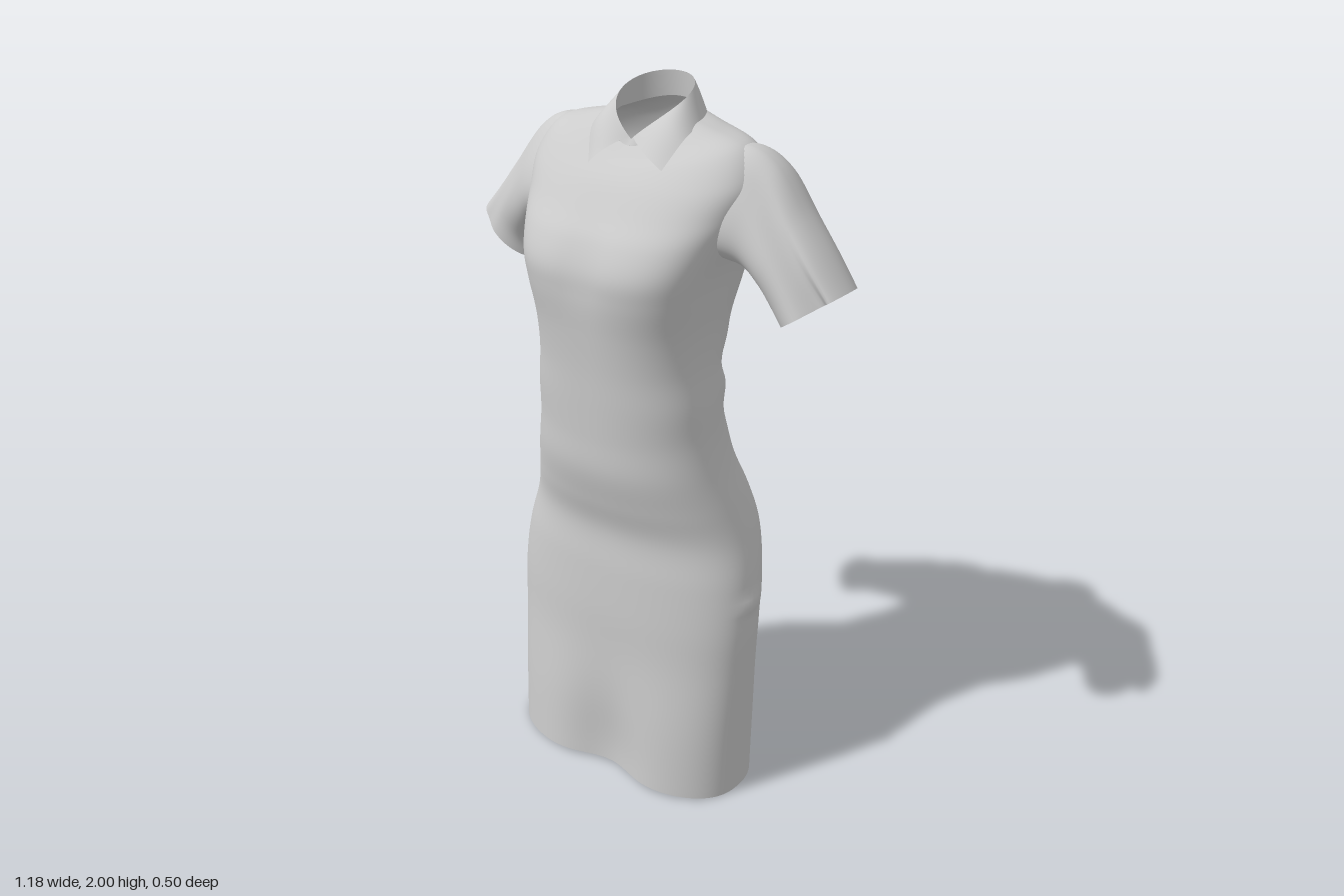
import * as THREE from 'three';

const fabric = new THREE.MeshStandardMaterial({ color: 0xcccccc, side: THREE.DoubleSide, roughness: 0.8 });

// Surface through a grid of points: point(u, v) with u around and v along, both 0..1
function surface(name, nu, nv, closed, point) {
  const cols = closed ? nu : nu + 1;
  const pos = [], idx = [];
  for (let i = 0; i <= nv; i++)
    for (let j = 0; j < cols; j++) pos.push(...point(j / nu, i / nv));
  for (let i = 0; i < nv; i++)
    for (let j = 0; j < nu; j++) {
      const k = (j + 1) % cols;
      const a = i * cols + j, b = i * cols + k, c = a + cols, d = b + cols;
      idx.push(a, b, d, a, d, c);
    }
  const geo = new THREE.BufferGeometry();
  geo.setAttribute('position', new THREE.Float32BufferAttribute(pos, 3));
  geo.setIndex(idx);
  geo.computeVertexNormals();
  const mesh = new THREE.Mesh(geo, fabric);
  mesh.name = name;
  return mesh;
}

// Smooth interpolation of table rows, t = 0..1
function smoothRows(rows) {
  const spline = new THREE.CubicInterpolant(rows.map((_, i) => i), rows.flat(), rows[0].length);
  return t => Array.from(spline.evaluate(t * (rows.length - 1)));
}

const bump = (d, r) => Math.exp(-(d * d) / (r * r));
const power = (v, p) => Math.sign(v) * Math.abs(v) ** p;

// Dress body: height, half width, front z, back z, roundness
const trunk = [
  [0.00, 0.38, 0.218, -0.195, 2.4],
  [0.20, 0.383, 0.205, -0.19, 2.4],
  [0.40, 0.388, 0.185, -0.18, 2.35],
  [0.55, 0.39, 0.18, -0.19, 2.3],
  [0.68, 0.378, 0.175, -0.223, 2.3],
  [0.80, 0.348, 0.17, -0.25, 2.3],
  [0.90, 0.32, 0.195, -0.237, 2.25],
  [1.00, 0.292, 0.218, -0.20, 2.2],
  [1.10, 0.273, 0.222, -0.172, 2.2],
  [1.20, 0.264, 0.226, -0.158, 2.3],
  [1.30, 0.252, 0.23, -0.168, 2.4],
  [1.40, 0.252, 0.238, -0.19, 2.6],
  [1.50, 0.264, 0.25, -0.22, 2.9],
  [1.57, 0.277, 0.25, -0.237, 3],
  [1.64, 0.298, 0.222, -0.248, 2.85],
];
// Shoulders up to the neckline: half width, front z, back z, roundness, then side, front and back height
const shoulders = [
  [0.322, 0.178, -0.25, 2.6, 1.71, 1.70, 1.71],
  [0.335, 0.13, -0.242, 2.4, 1.79, 1.765, 1.79],
  [0.288, 0.095, -0.224, 2.15, 1.865, 1.80, 1.85],
  [0.19, 0.068, -0.205, 2, 1.893, 1.82, 1.895],
  [0.105, 0.04, -0.18, 2, 1.91, 1.845, 1.93],
];

function makeBody() {
  const rows = trunk.map(([y, w, f, b, n]) => [w, f, b, n, y, y, y]).concat(shoulders);
  const at = smoothRows(rows);
  return surface('dressBody', 128, 120, true, (u, v) => {
    const [w, f, b, n, ys, yf, yb] = at(v);
    const a = u * Math.PI * 2, s = Math.sin(a), c = Math.cos(a);
    let x = w * power(s, 2 / n);
    let z = (f + b) / 2 + (f - b) / 2 * power(c, 2 / n);
    let y = ys + ((c > 0 ? yf : yb) - ys) * c * c;
    // lifted hem, falling in between the legs at front and back
    y += bump(v, 0.03) * (c > 0 ? 0.012 : 0.03) * c * c;
    if (c > 0) z -= 0.055 * bump(y, 0.28) * bump(x - 0.02, 0.12);
    else z += bump(y, 0.25) * (0.03 * bump(x, 0.08) + 0.012 * bump(x + 0.14, 0.035));
    // hollow between the bust
    if (c > 0) z -= 0.01 * bump(x, 0.07) * bump(y - 1.57, 0.1);
    // diagonal folds in the small of the back
    if (c < 0) {
      const env = bump(y - 1.25, 0.12) * Math.min(1, -c * 2);
      z += env * 0.011 * Math.sin(40 * (y - 0.5 * x - 0.25 * Math.abs(x + 0.08)) + 1.5);
    }
    // pinch at the side seams
    x += Math.sign(s) * 0.012 * bump(y - 0.62, 0.02) * bump(c, 0.2);
    return [x, y, z];
  });
}

// Sleeve rings: top x, y, bottom x, y, back z, front z, forward lean of the underside
function makeSleeve(side) {
  const left = side > 0;
  const at = smoothRows([
    [0.19, 1.845, 0.22, 1.62, -0.205, 0.085, 0.05],
    [0.285, 1.87, 0.28, 1.59, -0.212, 0.065, 0.06],
    [0.37, 1.83, 0.335, 1.572, -0.205, 0.045, 0.05],
    [0.455, 1.725, 0.38, 1.53, -0.197, left ? 0.05 : 0.025, 0.02],
    [0.525, 1.64, 0.41, 1.485, -0.192, left ? 0.055 : 0.01, 0],
    left ? [0.59, 1.555, 0.44, 1.45, -0.185, 0.06, 0] : [0.59, 1.57, 0.41, 1.435, -0.19, 0.005, 0],
  ]);
  return surface(left ? 'leftSleeve' : 'rightSleeve', 64, 40, true, (u, v) => {
    const [tx, ty, bx, by, zb, zf, lean] = at(v);
    const a = u * Math.PI * 2, c = power(Math.cos(a), 0.95), s = power(Math.sin(a), 0.95);
    // lengthwise crease on the front of the sleeve
    const crease = (left ? 0.055 : 0.01) * v * v * bump(a - 1.05, 0.32);
    return [
      side * ((tx + bx) / 2 + (tx - bx) / 2 * c),
      (ty + by) / 2 + (ty - by) / 2 * c,
      (zf + zb) / 2 + (zf - zb) / 2 * s - lean * c * Math.max(0, s) - crease,
    ];
  });
}

// Folded top edge of the collar, dipping to a V; angle 0 is the back
function collarTop(a) {
  const front = Math.acos(Math.cos(a)) / Math.PI;
  return new THREE.Vector3(0.1 * Math.sin(a), 1.997 - 0.137 * front ** 2, -0.07 - 0.1 * Math.cos(a));
}

function makeCollar() {
  const collar = new THREE.Group();
  collar.name = 'collar';
  // inner stand from the neckline to the fold
  collar.add(surface('collarStand', 64, 6, true, (u, v) => {
    const a = -u * Math.PI * 2, c = Math.cos(a);
    const base = new THREE.Vector3(0.105 * Math.sin(a), 1.91 + (c > 0 ? 0.02 : -0.065) * c * c, -0.07 - 0.11 * c);
    return base.lerp(collarTop(a), v).toArray();
  }));
  // turned-down leaves ending in points at the front
  for (const side of [1, -1]) {
    const sidePoints = side > 0
      ? [[0.13, 1.9, -0.1], [0.152, 1.88, 0.01], [0.14, 1.815, 0.09]]
      : [[0.128, 1.902, -0.1], [0.135, 1.882, 0.01], [0.085, 1.8, 0.098]];
    const edge = new THREE.CatmullRomCurve3([[0, 1.922, -0.197], [0.08, 1.915, -0.175], ...sidePoints]
      .map(p => new THREE.Vector3(...p)));
    collar.add(surface(side > 0 ? 'leftCollarLeaf' : 'rightCollarLeaf', 40, 10, false, (u, v) => {
      const t = side > 0 ? 1 - u : u;
      const p = edge.getPoint(t).lerp(collarTop(t * Math.PI * 0.98), v);
      // rounded roll over the fold
      const puff = 0.06 * v * (1 - v);
      p.z += puff * t * t;
      p.y += puff * 0.4;
      return [p.x * side, p.y, p.z];
    }));
  }
  return collar;
}

export function createModel() {
  const dress = new THREE.Group();
  dress.name = 'dress';
  dress.add(makeBody(), makeSleeve(1), makeSleeve(-1), makeCollar());
  return dress;
}
